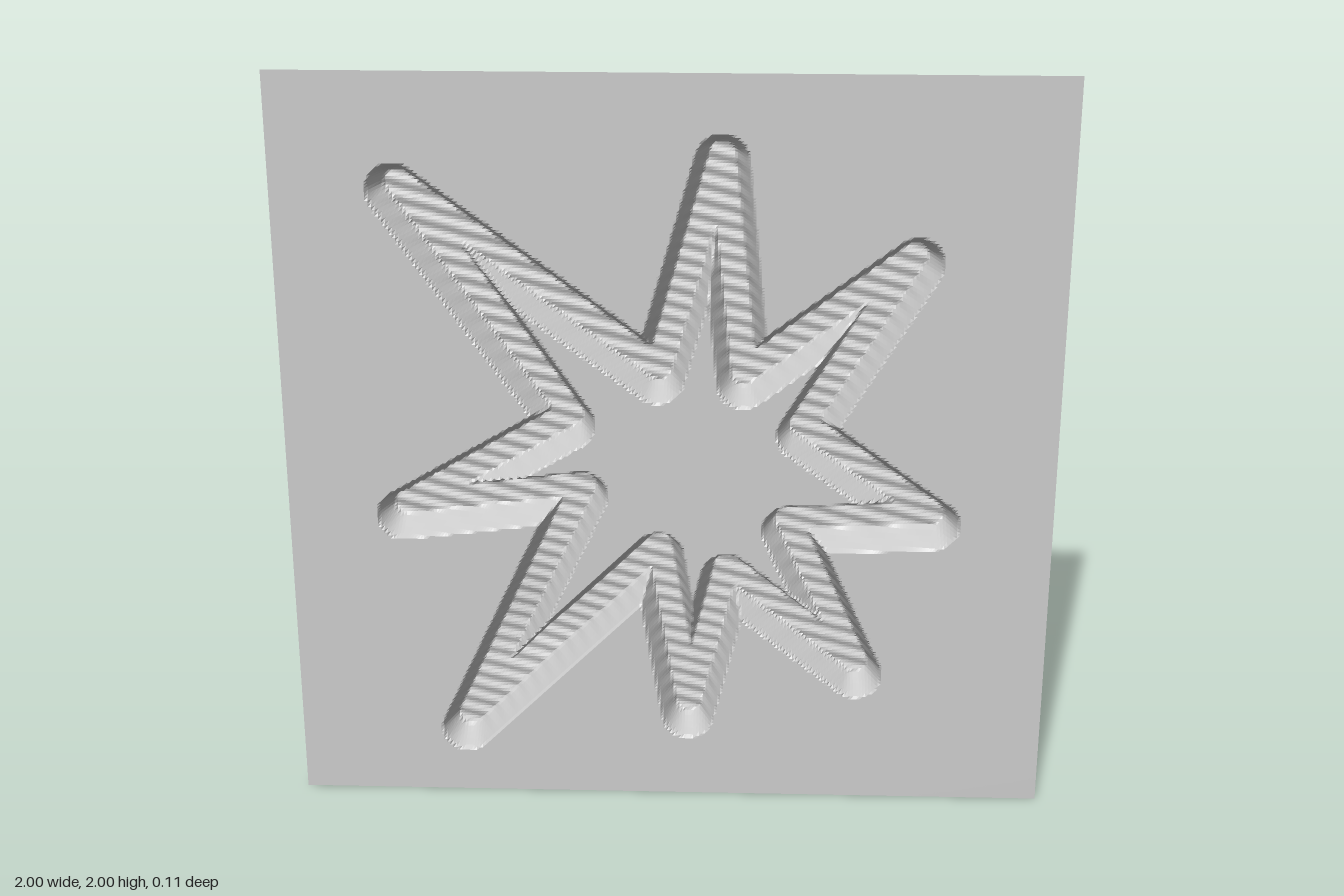
import * as THREE from 'three';

// Centre line of the star-shaped channel: tips and valleys in turn, clockwise
const STAR = [
  [-0.69, 1.70], [-0.03, 1.21], [0.13, 1.78], [0.19, 1.20],
  [0.62, 1.52], [0.345, 1.06], [0.69, 0.81], [0.31, 0.79],
  [0.50, 0.37], [0.15, 0.65], [0.05, 0.24], [-0.03, 0.71],
  [-0.55, 0.19], [-0.23, 0.88], [-0.70, 0.82], [-0.26, 1.08],
].map(([x, y]) => new THREE.Vector2(x, y));

const SHEET_Z = 0.055;     // face of the flat sheet
const FLOOR_Z = -0.036;    // floor of the channel
const HALF_TOP = 0.068;    // half width of the channel at the sheet
const HALF_FLOOR = 0.034;  // half width of the channel floor
const CELLS = 250;

// Distance from a point to the closed centre line
function distanceToStar(x, y) {
  let best = Infinity;
  STAR.forEach((a, i) => {
    const b = STAR[(i + 1) % STAR.length];
    const dx = b.x - a.x, dy = b.y - a.y;
    const t = THREE.MathUtils.clamp(((x - a.x) * dx + (y - a.y) * dy) / (dx * dx + dy * dy), 0, 1);
    best = Math.min(best, Math.hypot(x - a.x - t * dx, y - a.y - t * dy));
  });
  return best;
}

// Depth rule: flat sheet, steep channel walls, slightly ribbed floor
function surfaceZ(x, y) {
  const wall = THREE.MathUtils.clamp((HALF_TOP - distanceToStar(x, y)) / (HALF_TOP - HALF_FLOOR), 0, 1);
  const ribs = 0.003 * Math.sin(y * 150 + x * 40);
  const sag = 0.017 * Math.exp(-((x + 0.35) ** 2 + (y - 0.45) ** 2) / 0.02);
  return SHEET_Z + wall * (FLOOR_Z + ribs - sag - SHEET_Z);
}

export function createModel() {
  const model = new THREE.Group();
  model.name = 'starReliefPanel';

  // One thin sheet pressed back along the star outline
  const geometry = new THREE.PlaneGeometry(2, 2, CELLS, CELLS);
  geometry.translate(0, 1, 0);
  const p = geometry.attributes.position;
  for (let i = 0; i < p.count; i++) p.setZ(i, surfaceZ(p.getX(i), p.getY(i)));
  geometry.computeVertexNormals();

  const sheet = new THREE.Mesh(geometry, new THREE.MeshStandardMaterial({
    color: 0xcccccc, side: THREE.DoubleSide, flatShading: true,
  }));
  sheet.name = 'embossedSheet';
  model.add(sheet);
  return model;
}
